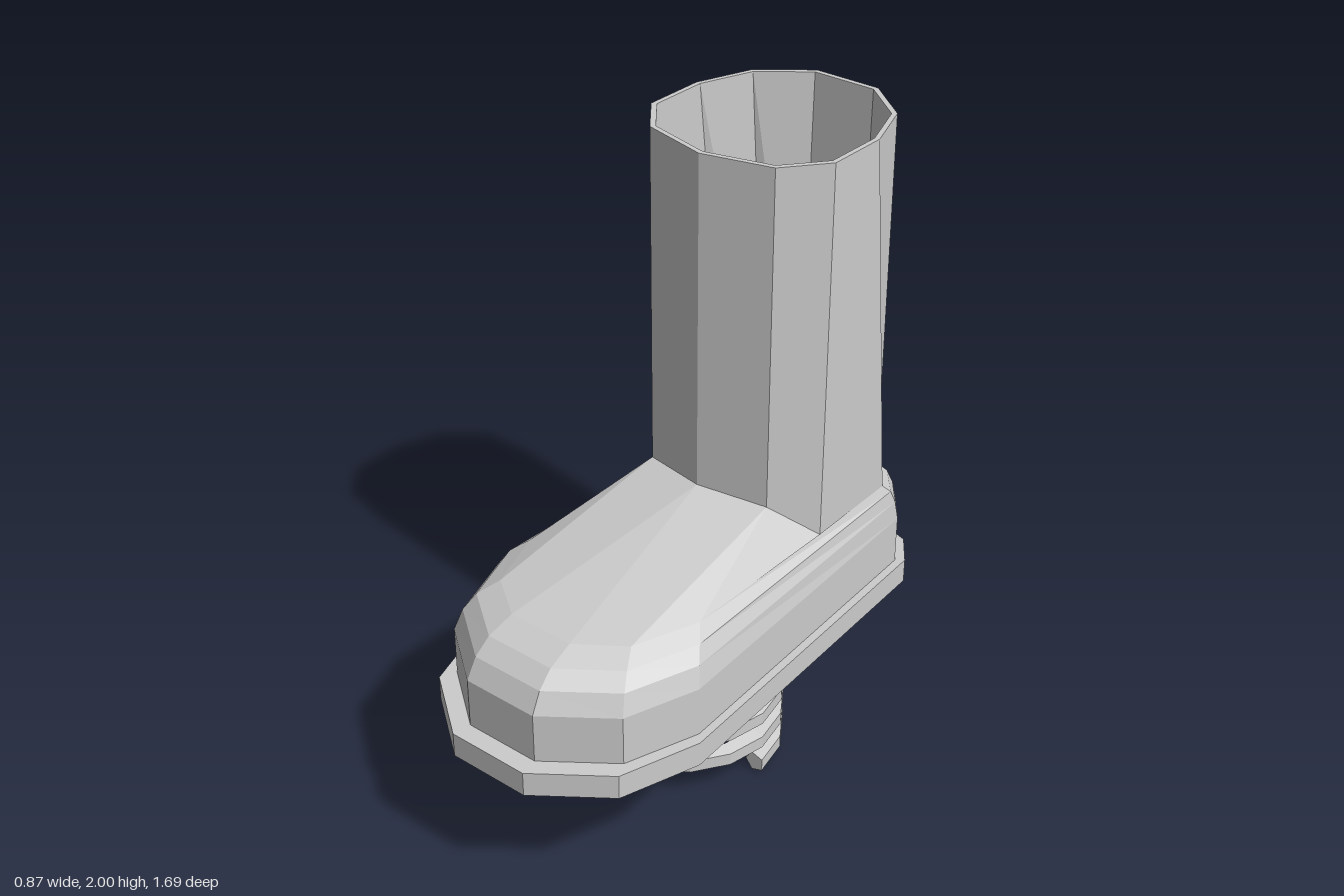
import * as THREE from 'three';

// The foot and shaft are open shells
const material = new THREE.MeshStandardMaterial({ color: 0xcccccc, flatShading: true, side: THREE.DoubleSide });

// Skin a list of closed rings, with optional flat caps at either end
function loft(name, rings, capStart, capEnd) {
  const out = [];
  const tri = (a, b, c) => {
    const area = b.clone().sub(a).cross(c.clone().sub(a)).length();
    if (area > 1e-7) for (const p of [a, b, c]) out.push(p.x, p.y, p.z);
  };
  const n = rings[0].length;
  for (let i = 0; i < rings.length - 1; i++) {
    const down = rings[i + 1][0].y < rings[i][0].y;
    for (let j = 0; j < n; j++) {
      const k = (j + 1) % n;
      const a = rings[i][j], b = rings[i][k], c = rings[i + 1][k], d = rings[i + 1][j];
      // diagonals mirror from side to side, and match between outer and inner walls
      if ((j < n / 2) !== down) { tri(a, b, d); tri(b, c, d); } else { tri(a, b, c); tri(a, c, d); }
    }
  }
  const first = rings[0], last = rings[rings.length - 1];
  for (let j = 1; j < n - 1; j++) {
    if (capStart) tri(first[0], first[j + 1], first[j]);
    if (capEnd) tri(last[0], last[j], last[j + 1]);
  }
  const geometry = new THREE.BufferGeometry();
  geometry.setAttribute('position', new THREE.Float32BufferAttribute(out, 3));
  geometry.computeVertexNormals();
  const mesh = new THREE.Mesh(geometry, material);
  mesh.name = name;
  return mesh;
}

// Mirror a half outline of [x, z] pairs (front to back) into a full ring; y is a height or a list
function ring(half, y) {
  const right = half.map(([x, z], i) => new THREE.Vector3(x, Array.isArray(y) ? y[i] : y, z));
  const left = right.map((p) => new THREE.Vector3(-p.x, p.y, p.z)).reverse();
  return [...right, ...left];
}

const mix = (a, b, f) => a.map((p, i) => p.map((v, k) => v + (b[i][k] - v) * f));
const inset = (half) => half.map(([x, z]) => [x * 0.952, -0.43 + (z + 0.43) * 0.952]);

export function createModel() {
  const group = new THREE.Group();
  group.name = 'springBoot';

  // Half outlines, front to back
  const soleEdge = [[0.135, 0.845], [0.35, 0.685], [0.433, 0.43], [0.365, -0.69], [0.295, -0.785], [0.115, -0.845]];
  const footEdge = [[0.125, 0.785], [0.325, 0.635], [0.405, 0.4], [0.34, -0.67], [0.27, -0.76], [0.11, -0.815]];
  const heelTop = [[0.315, -0.61], [0.225, -0.71], [0.11, -0.75]];
  const footTop = [[0.11, 0.61], [0.25, 0.51], [0.325, 0.3], ...heelTop];
  const shaftLow = [[0, -0.085], [0.22, -0.14], [0.325, -0.27], ...heelTop];
  const shaftTop = [[0, -0.085], [0.22, -0.14], [0.325, -0.27], [0.325, -0.475], [0.26, -0.655], [0.11, -0.775]];

  // Flat sole, its top also closes the inside of the boot
  group.add(loft('sole', [ring(soleEdge, 0.415), ring(soleEdge, 0.495)], true, true));

  // Foot with a rounded shoulder rising to the instep
  const instep = ring(shaftLow, [0.932, 0.915, 0.795, 0.795, 0.795, 0.795]);
  group.add(loft('foot', [
    ring(footEdge, 0.495),
    ring(footEdge, 0.655),
    ring(mix(footEdge, footTop, 0.2), 0.72),
    ring(mix(footEdge, footTop, 0.5), 0.765),
    ring(footTop, 0.795),
    instep,
  ]));

  // Hollow shaft: outer wall, rim, inner wall
  group.add(loft('shaft', [
    instep,
    ring(shaftTop, 2),
    ring(inset(shaftTop), 2),
    ring(inset(shaftLow), 0.795),
    ring(inset(shaftLow), 0.49),
  ]));

  // Spring: each turn climbs around the back and runs level around the front
  const coils = [];
  const steps = 16, turns = 4, pitch = 0.094, radius = 0.303;
  for (let i = 0; i <= steps * turns; i++) {
    const t = (i / steps) * Math.PI * 2;
    const turn = Math.floor(i / steps), part = (i % steps) / steps;
    const climb = part < 0.5 ? (1 - Math.cos(t)) / 2 : 1;
    const y = 0.034 + pitch * (turn + climb);
    const section = [];
    for (let k = 0; k < 5; k++) {
      const a = Math.PI / 5 - (k * Math.PI * 2) / 5;
      const r = radius + 0.035 * Math.cos(a);
      section.push(new THREE.Vector3(-0.03 + r * Math.cos(t), y + 0.035 * Math.sin(a), -0.042 - r * Math.sin(t)));
    }
    coils.push(section);
  }
  group.add(loft('spring', coils, true, true));

  return group;
}
